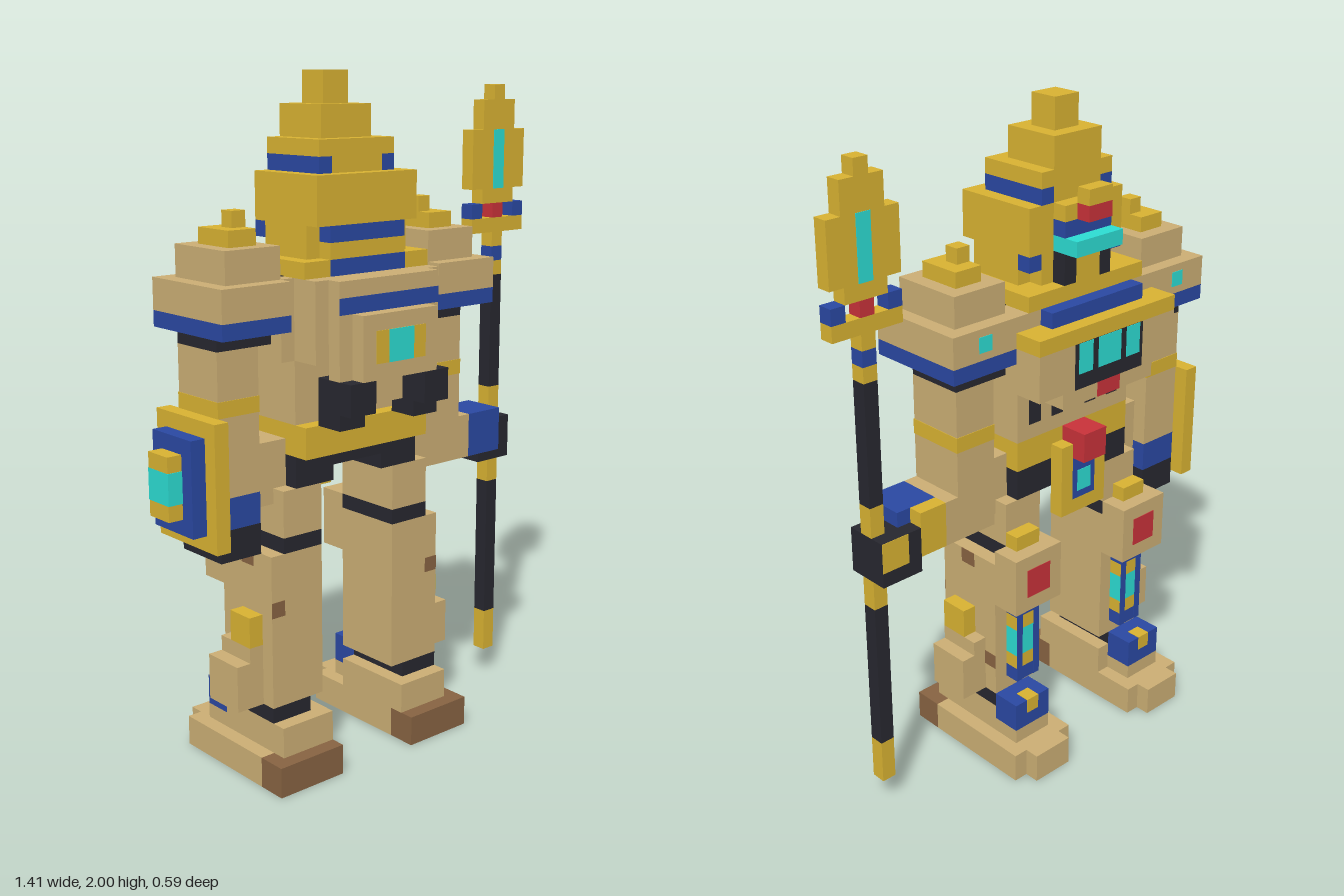
import * as THREE from 'three';

const V = 1 / 22;          // one block
const CX = -2.5 * V;       // body centre line, offset because of the staff

const mat = (name, color) => {
  const m = new THREE.MeshStandardMaterial({ color });
  m.name = name;
  return m;
};

export function createModel() {
  const root = new THREE.Group();
  root.name = 'guardianRobot';
  const tan = mat('sandstone', 0xcbae74), gold = mat('gold', 0xd8b232), blue = mat('lapis', 0x2a48a2);
  const dark = mat('darkMetal', 0x27272f), cyan = mat('turquoise', 0x2cdcd2), red = mat('red', 0xc83239);
  const brown = mat('brown', 0x876342);

  let group = root;
  const part = (name) => {
    group = new THREE.Group();
    group.name = name;
    root.add(group);
  };
  // block from x0..x1, y0..y1, z0..z1 in block units, x from the body centre line
  const box = (name, m, x0, x1, y0, y1, z0, z1) => {
    const mesh = new THREE.Mesh(new THREE.BoxGeometry((x1 - x0) * V, (y1 - y0) * V, (z1 - z0) * V), m);
    mesh.position.set(CX + (x0 + x1) / 2 * V, (y0 + y1) / 2 * V, (z0 + z1) / 2 * V);
    mesh.name = name;
    group.add(mesh);
  };
  const mid = (name, m, half, ...r) => box(name, m, -half, half, ...r);
  const pair = (name, m, x0, x1, ...r) => {
    box(name + 'Left', m, x0, x1, ...r);
    box(name + 'Right', m, -x1, -x0, ...r);
  };
  const T = 0.04; // thin plate thickness in blocks

  part('legs');
  pair('foot', tan, 3, 8, 0, 2, -5.5, 2.5);
  pair('toe', tan, 4, 7, 0, 2, -6.5, -5.5);
  pair('heel', brown, 3, 8, 0, 2, 2.5, 4.5);
  pair('footTop', tan, 3, 7, 2, 4, -2.5, 3.5);
  pair('instep', tan, 4, 7, 2, 3, -4.5, -2.5);
  pair('instepGuard', blue, 4, 7, 3, 5, -4.5, -2.5);
  pair('instepStud', gold, 5, 6, 4, 5 + T, -4.5 - T, -3.5);
  pair('ankle', dark, 4, 7, 4, 5, -2.5, 2.5);
  pair('shin', tan, 3, 7, 5, 15, -2.5, 2.5);
  [[blue, 6, 7], [gold, 7, 8], [cyan, 8, 10], [gold, 10, 11], [blue, 11, 12]].forEach(([m, a, b]) =>
    pair('shinInlay', m, 4, 6, a, b, -3.5, -2.5));
  pair('shinRailInner', blue, 4, 4.5, 6, 12, -3.5 - T, -3.5);
  pair('shinRailOuter', blue, 5.5, 6, 6, 12, -3.5 - T, -3.5);
  pair('calfPlate', tan, 7, 9, 5, 8, -1.5, 1.5);
  pair('calfUpper', tan, 7, 8, 8, 9, -1.5, 1.5);
  pair('calfTrim', gold, 7, 8, 9, 11, -0.5, 1.5);
  pair('wornPatch', brown, 6, 7, 11, 12, 2.5, 2.5 + T);
  pair('wornSpot', brown, 7, 7 + T, 14, 15, -0.5, 0.7);
  pair('wornMark', brown, 7, 7 + T, 7, 8, -2.5, -1.5);
  pair('kneeCap', tan, 3, 7, 12, 16, -4.5, -2.5);
  pair('kneeGem', red, 4, 6, 13, 15, -4.5 - T, -4.5);
  pair('kneeCrest', gold, 4, 6, 16, 17, -3.5, -2.5);
  pair('kneeJoint', dark, 3, 6, 15, 16, -2.5, 2.5);
  pair('thigh', tan, 3, 6, 16, 19, -2.5, 2.5);
  pair('hipGuard', tan, 5, 7, 18, 22, -1.5, 1.5);

  part('pelvis');
  mid('pelvisCore', dark, 5, 20, 21, -2.5, 2.5);
  pair('hipJoint', dark, 2, 5, 19, 20, -2.5, 2.5);
  mid('belt', gold, 5, 21, 23, -2.5, 3.5);
  mid('tasset', gold, 2, 17, 22, -3.5, -2.5);
  mid('tassetPanel', blue, 1, 18, 21, -3.5 - T, -3.5);
  mid('tassetInlay', cyan, 0.6, 18.5, 20, -3.5 - 2 * T, -3.5 - T);
  mid('buckle', red, 1, 21, 23, -4.5, -2.5);

  part('torso');
  mid('waist', tan, 5, 23, 27, -2.5, 2.5);
  mid('chest', tan, 5, 27, 32, -3.5, 3.5);
  pair('chestSide', tan, 5, 6, 27, 32, -3.5, 2.5);
  pair('shoulderJoint', dark, 5, 6, 32, 32 + T, -1.5, 1.5);
  pair('rib', dark, 1, 2, 24, 26, -2.5 - T, -2.5);
  pair('outerRib', dark, 3, 4, 24, 26, -2.5 - T, -2.5);
  mid('breastplate', tan, 6, 27, 30, -5.5, -3.5);
  mid('breastBase', tan, 4, 26, 27, -5.5, -2.5);
  mid('breastCollar', gold, 6, 30, 31, -5.5, -3.5);
  mid('breastPanel', dark, 3, 27, 30, -5.5 - T, -5.5);
  mid('breastGem', cyan, 1, 28, 30, -5.5 - 2 * T, -5.5 - T);
  pair('breastInlay', cyan, 1.5, 2.7, 28, 30, -5.5 - 2 * T, -5.5 - T);
  mid('breastSeal', red, 1, 26, 27, -5.5 - T, -5.5);
  mid('bib', blue, 4, 31, 32, -4.5, -3.5);

  part('backpack');
  mid('pack', tan, 5, 27, 32, 3.5, 4.5);
  mid('packMiddle', tan, 4, 26, 32, 4.5, 5.5);
  mid('packStep', tan, 3, 26, 30, 5.5, 6.5);
  mid('packStripe', blue, 4, 30, 31, 5.5, 5.5 + T);
  mid('packPlate', gold, 2, 27, 29, 6.5, 6.5 + T);
  mid('packGem', cyan, 1, 27, 29, 6.5 + T, 6.5 + 2 * T);
  mid('packLower', tan, 2, 24, 26, 2.5, 4.5);
  pair('thruster', dark, 2, 4, 24, 26, 3.5, 6.5);
  pair('nozzle', dark, 2, 4, 23, 24, 3.5, 5.5);

  part('shoulders');
  pair('padRim', blue, 6, 11, 29, 30, -3.5, 3.5);
  pair('pad', tan, 6, 11, 30, 32, -3.5, 3.5);
  pair('padGem', cyan, 8, 9, 30.5, 31.5, -3.5 - T, -3.5);
  pair('padStep', tan, 6, 10, 32, 34, -2.5, 2.5);
  pair('padCap', gold, 7, 9, 34, 35, -1.5, 1.5);
  pair('padTip', gold, 7, 8, 35, 36, -0.5, 0.5);

  part('arms');
  pair('armJoint', dark, 6, 10, 28, 29, -2.5, 1.5);
  pair('upperArm', tan, 7, 10, 19, 28, -2.5, 1.5);
  pair('armBand', gold, 7 - T, 10 + T, 24, 25, -2.5 - T, 1.5 + T);
  box('elbowLeft', tan, 7, 10, 18, 19, -2.5, 1.5);
  box('forearmLeft', tan, 10, 11, 18, 21, -2.5, 1.5);
  box('cuffLeft', blue, 11, 14, 18, 21, -1.5, 1.5);
  box('cuffTrimLeft', gold, 11, 13, 18, 21, -2.5, -1.5);
  box('handLeft', dark, 13, 16, 17, 20, -2.5, 0.5);
  box('knuckleLeft', gold, 14, 16, 18, 20, -2.5 - T, -2.5);
  box('cuffRight', blue, -10, -7, 17, 19, -2.5, 1.5);
  box('handRight', dark, -10, -7, 15, 17, -2.5, 1.5);

  part('shield');
  box('shieldBack', gold, -11, -10, 16, 24, -3.5, 2.5);
  box('shieldFace', blue, -12, -11, 17, 23, -2.5, 1.5);
  box('shieldBoss', gold, -13, -12, 18, 22, -1.5, 0.5);
  box('shieldGem', cyan, -13 - T / 4, -12, 19, 21, -1.5 - T, 0.5 + T);

  part('head');
  mid('collar', gold, 5, 32, 33, -3.5, 3.5);
  mid('skull', gold, 3, 33, 38, -2.5, 2.5);
  mid('napeStripe', blue, 3, 32, 33, 3.5, 3.5 + T);
  mid('napeLower', gold, 3, 33, 34, 2.5, 3.5);
  mid('napeUpper', blue, 3, 34, 35, 2.5, 3.5);
  mid('hood', gold, 4, 35, 38, -2.5, 3.5);
  pair('hoodDrape', gold, 3, 4, 33, 35, -1.5, 2.5);
  pair('drapeStripe', blue, 3, 4, 34, 35, -2.5, -1.5);
  mid('jaw', dark, 2, 33, 35, -3.5, -2.5);
  mid('beard', gold, 1, 33, 35, -3.5 - T, -3.5);
  mid('visor', cyan, 2, 35, 36, -4.5, -2.5);
  mid('brow', blue, 2, 36, 37, -3.5, -2.5);
  mid('forehead', gold, 2, 37, 38, -3.5, -2.5);
  mid('crestGem', red, 1, 37, 38, -4.5, -3.5);
  mid('crest', gold, 1, 38, 39, -4.5, -3.5);
  mid('crownBase', gold, 2, 38, 39, -2.5, 2.5);
  pair('crownStripe', blue, 2, 3, 38, 39, -2.5, 2.5);
  mid('crownLower', gold, 3, 39, 40, -2.5, 2.5);
  mid('crownMiddle', gold, 2, 40, 42, -2.5, 1.5);
  mid('crownTip', gold, 1, 42, 44, -1.5, 0.5);

  part('staff');
  const staff = (name, m, x0, x1, y0, y1) => box(name, m, x0, x1, y0, y1, -1.5, -0.5);
  [[gold, 2, 5], [dark, 5, 15], [gold, 15, 17], [gold, 20, 22], [dark, 22, 30],
    [gold, 30, 31], [blue, 31, 32], [gold, 32, 33]].forEach(([m, a, b]) => staff('shaft', m, 15, 16, a, b));
  staff('crossbar', gold, 13, 18, 33, 34);
  staff('neck', red, 15, 16, 34, 35);
  staff('prongRight', blue, 13, 14, 34, 35);
  staff('prongLeft', blue, 17, 18, 34, 35);
  staff('bladeBase', gold, 14, 17, 35, 36);
  staff('blade', gold, 13, 18, 36, 40);
  staff('bladeTop', gold, 14, 17, 40, 42);
  staff('bladeTip', gold, 15, 16, 42, 43);
  box('bladeGem', cyan, 15, 16, 36, 40, -1.5 - T, -0.5 + T);

  return root;
}
